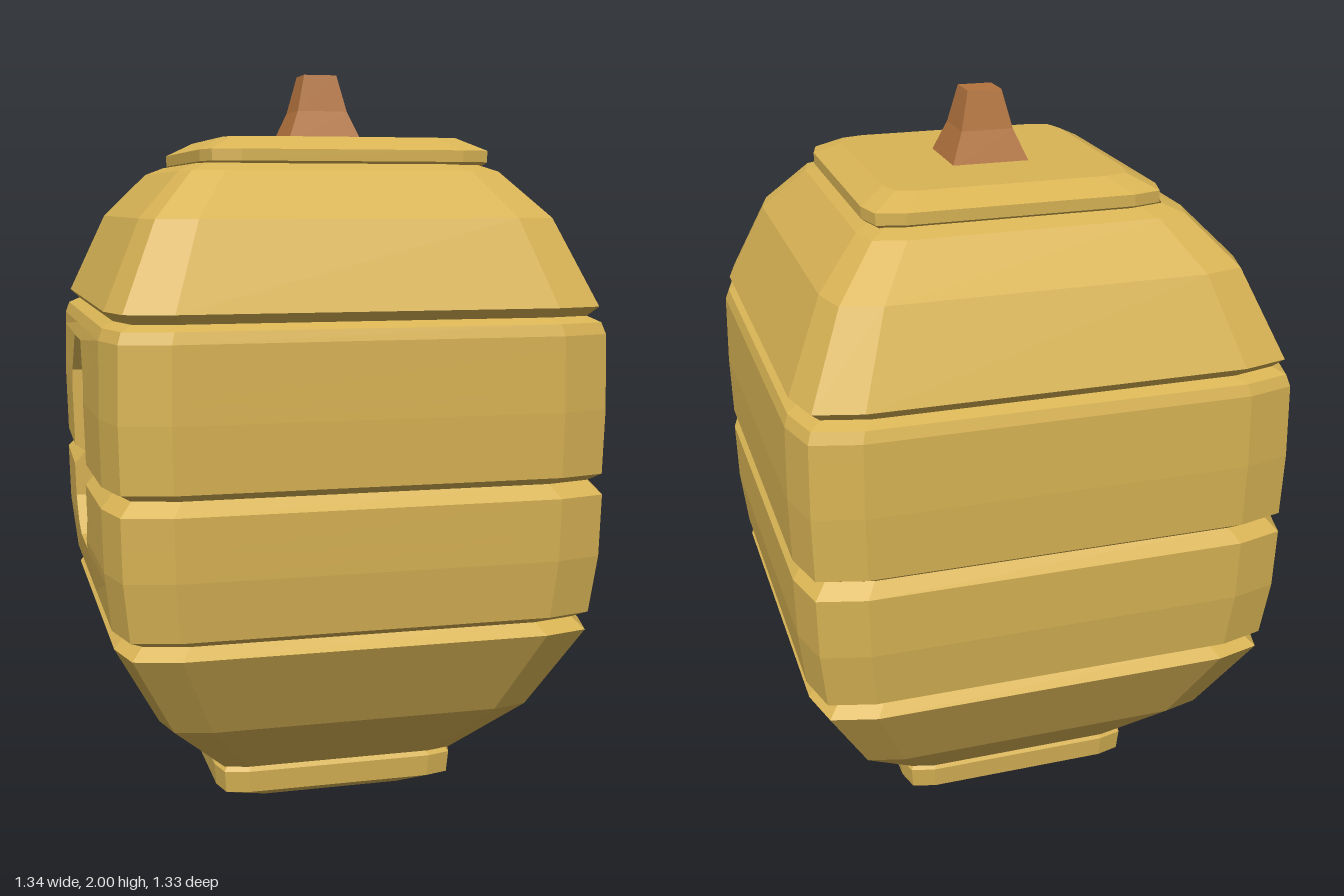
import * as THREE from 'three';

const honey = new THREE.MeshStandardMaterial({ color: 0xd9b455, flatShading: true, side: THREE.DoubleSide });
honey.name = 'honey yellow';
const wood = new THREE.MeshStandardMaterial({ color: 0xb3743e, flatShading: true });
wood.name = 'stem brown';

// Entrance opening on the -x wall: [height, half width]
const HOLE = [[0.7, 0.09], [0.8, 0.17], [1.17, 0.17], [1.28, 0.09]];
const HOLE_LOW = HOLE[0][0], HOLE_HIGH = HOLE[3][0];

// Linear interpolation in a list of [key, value] pairs
function lerpTable(table, y) {
  if (y <= table[0][0]) return table[0][1];
  for (let i = 1; i < table.length; i++) {
    const [y0, v0] = table[i - 1], [y1, v1] = table[i];
    if (y <= y1) return v0 + ((v1 - v0) * (y - y0)) / (y1 - y0);
  }
  return table[table.length - 1][1];
}

// Square ring with softened corners, counterclockwise from above
function ring(r, y, square, cx) {
  const corner = square ? [[1, 1]] : [[1, 0.76], [0.95, 0.95], [0.76, 1]];
  const points = [];
  for (let k = 0; k < 4; k++) {
    for (const [a, b] of corner) {
      let x = a * r, z = -b * r;
      for (let n = 0; n < k; n++) [x, z] = [z, -x];
      points.push(new THREE.Vector3(x + cx, y, z));
    }
  }
  return points;
}

function geometryFrom(triangles) {
  const geometry = new THREE.BufferGeometry().setFromPoints(triangles);
  geometry.computeVertexNormals();
  return geometry;
}

function addQuad(out, a, b, c, d) {
  out.push(a, b, c, a, c, d);
}

// Loft through [height, half size] rows; closes both ends unless a hole is cut
function loft(rows, { square = false, cx = 0, hole = false } = {}) {
  const rings = rows.map(([y, r]) => {
    const points = ring(r, y, square, cx);
    if (hole) {
      const w = Math.min(lerpTable(HOLE, y), r * 0.7);
      const lip = y >= HOLE_LOW && y <= HOLE_HIGH ? 0.008 : 0;
      points.splice(6, 0, new THREE.Vector3(-r - lip, y, -w), new THREE.Vector3(-r - lip, y, w));
    }
    return points;
  });
  const out = [];
  const n = rings[0].length;
  for (let j = 0; j < rings.length - 1; j++) {
    const middle = (rows[j][0] + rows[j + 1][0]) / 2;
    for (let i = 0; i < n; i++) {
      if (hole && i === 6 && middle > HOLE_LOW && middle < HOLE_HIGH) continue;
      const k = (i + 1) % n;
      addQuad(out, rings[j][i], rings[j][k], rings[j + 1][k], rings[j + 1][i]);
    }
  }
  if (!hole) {
    const last = rings.length - 1;
    const low = new THREE.Vector3(cx, rows[0][0], 0);
    const high = new THREE.Vector3(cx, rows[last][0], 0);
    for (let i = 0; i < n; i++) {
      const k = (i + 1) % n;
      out.push(low, rings[0][k], rings[0][i], high, rings[last][i], rings[last][k]);
    }
  }
  return geometryFrom(out);
}

// Wall thickness around the opening
function holeRim(rows) {
  const edge = rows.filter(([y]) => y >= HOLE_LOW && y <= HOLE_HIGH);
  const side = (s) => edge.map(([y, r]) => [-r - 0.008, y, s * lerpTable(HOLE, y)]);
  const loop = [...side(1), ...side(-1).reverse()];
  const outer = loop.map((p) => new THREE.Vector3(...p));
  const inner = outer.map((p) => new THREE.Vector3(-0.57, p.y, p.z));
  const out = [];
  outer.forEach((p, i) => {
    const k = (i + 1) % outer.length;
    addQuad(out, p, outer[k], inner[k], inner[i]);
  });
  return geometryFrom(out);
}

export function createModel() {
  const model = new THREE.Group();
  model.name = 'beehive';
  const add = (name, geometry, material) => {
    const mesh = new THREE.Mesh(geometry, material);
    mesh.name = name;
    model.add(mesh);
  };

  // Four bulging tiers separated by grooves
  const profile = [
    [0.12, 0.34], [0.15, 0.37], [0.29, 0.51], [0.525, 0.635],
    [0.555, 0.605], [0.575, 0.64], [0.73, 0.658], [0.895, 0.662],
    [0.93, 0.63], [0.95, 0.66], [1.12, 0.664], [1.315, 0.66], [1.345, 0.65],
    [1.36, 0.62], [1.385, 0.645], [1.61, 0.545], [1.73, 0.43], [1.75, 0.38],
  ];
  const rows = [...profile, ...HOLE.map(([y]) => [y, lerpTable(profile, y)])];
  rows.sort((a, b) => a[0] - b[0]);
  add('hiveBody', loft(rows, { hole: true }), honey);
  add('entranceRim', holeRim(rows), honey);

  // Foot and lid
  add('foot', loft([[0, 0.25], [0.045, 0.335], [0.105, 0.34], [0.15, 0.31]]), honey);
  add('lid', loft([[1.73, 0.36], [1.755, 0.39], [1.785, 0.39], [1.82, 0.32]], { cx: 0.02 }), honey);

  // Flared square stem
  add('stem', loft([[1.815, 0.105], [1.9, 0.07], [2, 0.046]], { square: true, cx: 0.015 }), wood);

  return model;
}
